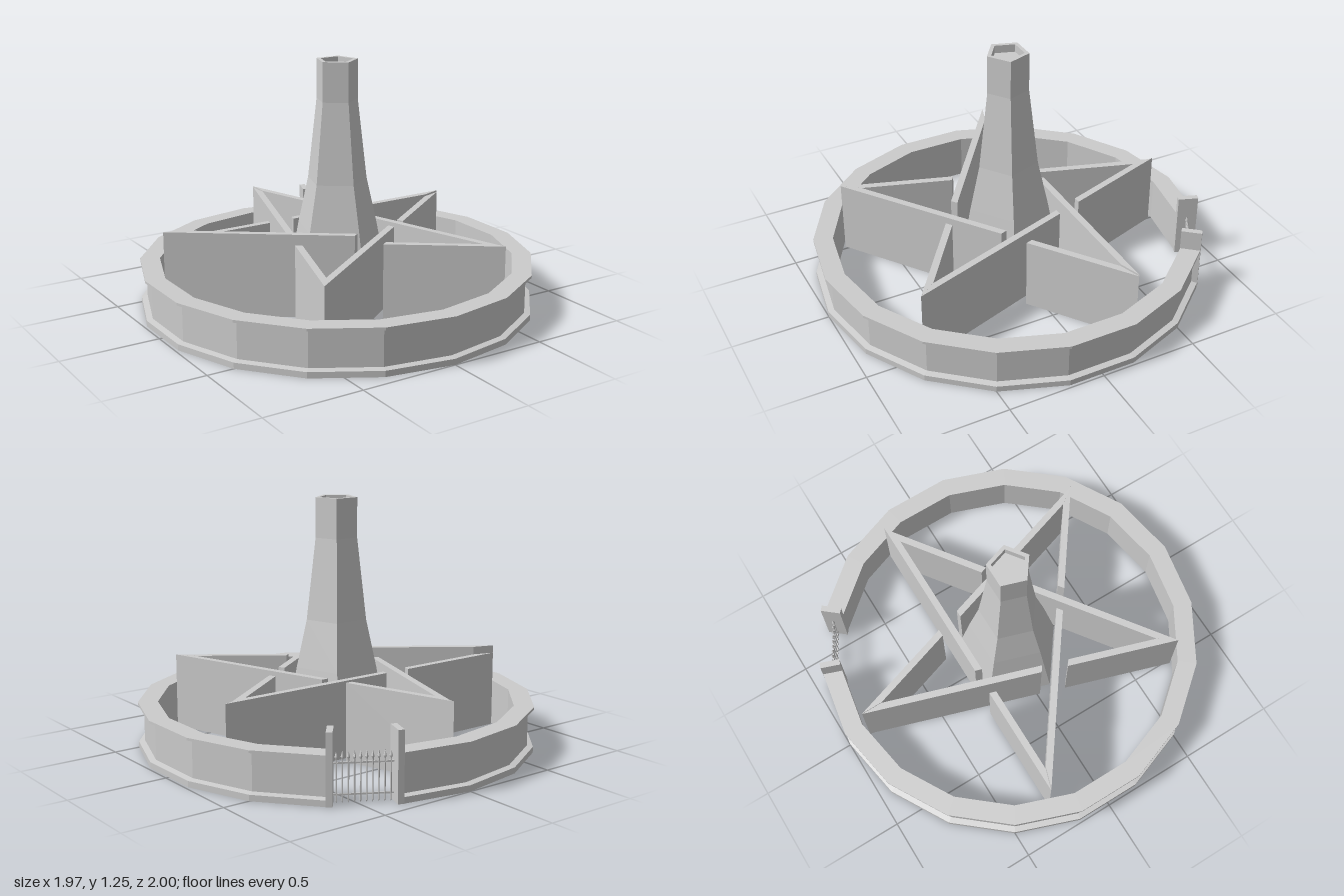
import * as THREE from 'three';

const material = new THREE.MeshStandardMaterial({ color: 0xcccccc, flatShading: true });
const rad = THREE.MathUtils.degToRad;

function add(parent, name, geometry) {
  const mesh = new THREE.Mesh(geometry, material);
  mesh.name = name;
  parent.add(mesh);
  return mesh;
}

// Surface of revolution from [radius, height] pairs
function lathe(points, sides, start = 0, length = Math.PI * 2) {
  return new THREE.LatheGeometry(points.map(([r, y]) => new THREE.Vector2(r, y)), sides, start, length);
}

// Upright wall from a plan outline given as [x, -z] pairs
function planWall(outline, height) {
  const shape = new THREE.Shape(outline.map(([x, y]) => new THREE.Vector2(x, y)));
  return new THREE.ExtrudeGeometry(shape, { depth: height, bevelEnabled: false }).rotateX(-Math.PI / 2);
}

export function createModel() {
  const model = new THREE.Group();
  model.name = 'starFortress';

  // Eighteen-sided outer wall with base and top ledges, one side left open
  const ringProfile = [
    [0.9, 0], [1, 0], [1, 0.03], [0.97, 0.036], [0.97, 0.217],
    [1, 0.222], [1, 0.235], [0.9, 0.235], [0.9, 0],
  ];
  add(model, 'outerWall', lathe(ringProfile, 17, rad(160), rad(340)));

  // Posts at both sides of the opening
  for (const [degrees, side] of [[160, -1], [140, 1]]) {
    const post = new THREE.Group();
    post.name = 'gatePost';
    post.rotation.y = rad(degrees);
    add(post, 'post', new THREE.BoxGeometry(0.03, 0.34, 0.104)).position.set(side * 0.015, 0.17, 0.95);
    model.add(post);
  }

  // Barred gate with pointed tips
  const gate = new THREE.Group();
  gate.name = 'gate';
  gate.rotation.y = rad(150);
  gate.position.set(0.94 * Math.sin(rad(150)), 0, 0.94 * Math.cos(rad(150)));
  const bars = 10;
  for (let i = 0; i < bars; i++) {
    const x = -0.122 + (0.244 * i) / (bars - 1);
    const bar = [[0, 0], [0.004, 0.01], [0.004, 0.2], [0.008, 0.212], [0, 0.24]];
    add(gate, 'gateBar', lathe(bar, 6)).position.x = x;
  }
  for (const y of [0.04, 0.185]) {
    add(gate, 'gateRail', new THREE.BoxGeometry(0.28, 0.008, 0.006)).position.y = y;
  }
  model.add(gate);

  // Interlaced star: each line is one long and one short wall, broken where the next line passes
  const longHeights = [0.39, 0.39, 0.43, 0.39, 0.39];
  const shortHeights = [0.39, 0.39, 0.39, 0.38, 0.395];
  const longPlan = [[0.837, 0.272], [-0.105, 0.272], [-0.116, 0.237], [0.729, 0.237]];
  const shortPlan = [[-0.837, 0.272], [-0.729, 0.237], [-0.256, 0.237], [-0.245, 0.272]];
  for (let i = 0; i < 5; i++) {
    const line = new THREE.Group();
    line.name = 'starLine';
    line.rotation.y = rad(72 * i);
    add(line, 'longStarWall', planWall(longPlan, longHeights[i]));
    add(line, 'shortStarWall', planWall(shortPlan, shortHeights[i]));
    model.add(line);
  }

  // Five-sided tapering tower with a sunken top
  const towerProfile = [
    [0, 0], [0.288, 0], [0.21, 0.4], [0.156, 0.64], [0.108, 1.05],
    [0.108, 1.25], [0.085, 1.25], [0.085, 1.21], [0, 1.21],
  ];
  add(model, 'tower', lathe(towerProfile, 5));

  return model;
}
